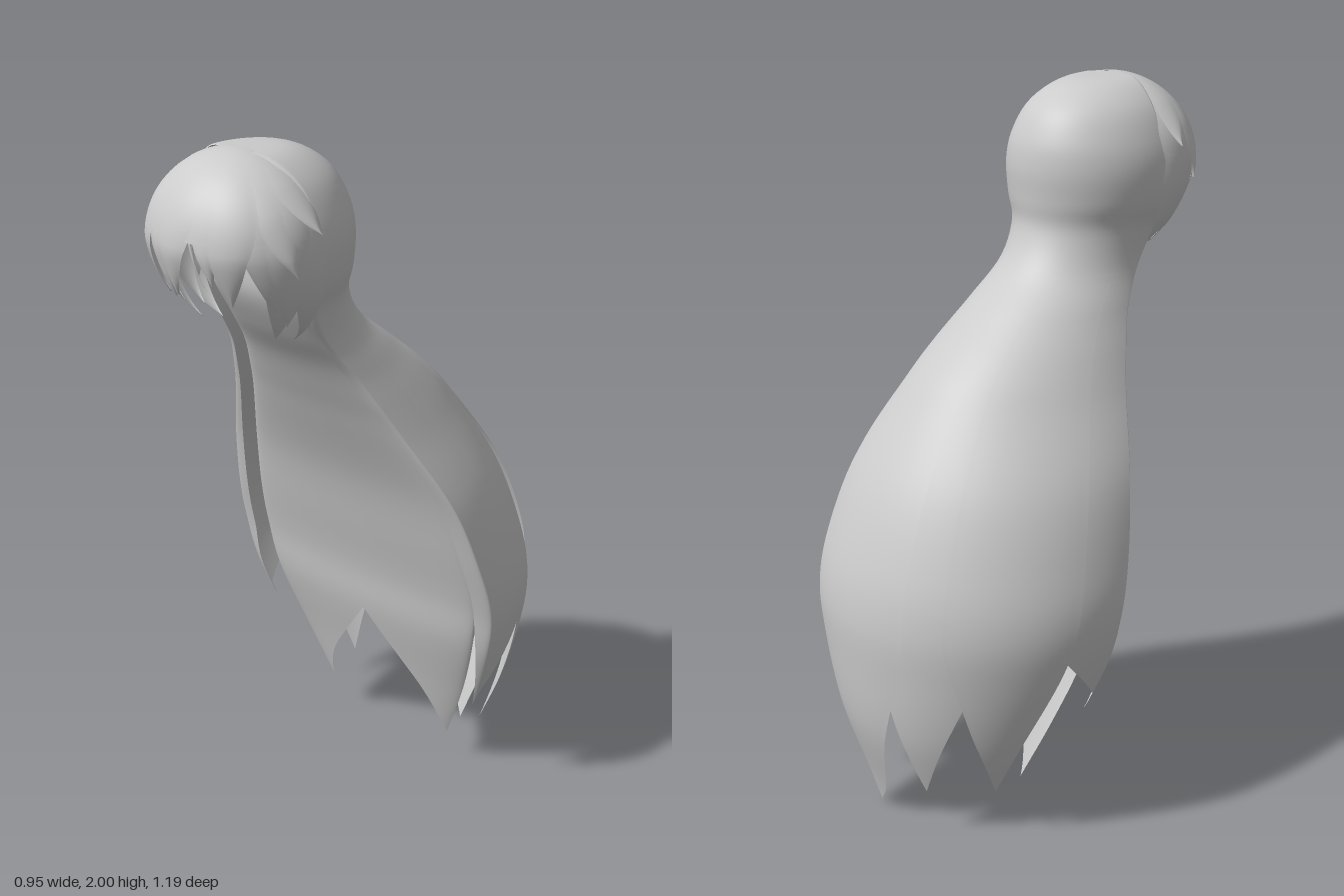
import * as THREE from 'three';

const rad = THREE.MathUtils.degToRad;
const material = new THREE.MeshStandardMaterial({ color: 0xcccccc, side: THREE.DoubleSide });

// Horizontal sections of the hair: height, half width, back z, z of widest point
const sections = [
  [1.995, 0, 0.38, 0.38], [1.985, 0.1, 0.22, 0.36], [1.93, 0.175, 0.115, 0.34], [1.85, 0.22, 0.065, 0.33],
  [1.77, 0.24, 0.05, 0.33], [1.68, 0.234, 0.054, 0.33], [1.6, 0.208, 0.055, 0.32], [1.5, 0.2, 0.0, 0.265],
  [1.4, 0.228, -0.12, 0.195], [1.3, 0.27, -0.24, 0.14], [1.2, 0.315, -0.33, 0.09], [1.0, 0.41, -0.465, 0],
  [0.8, 0.46, -0.545, -0.06], [0.65, 0.473, -0.575, -0.1], [0.5, 0.445, -0.572, -0.125],
  [0.3, 0.37, -0.55, -0.18], [0.1, 0.28, -0.49, -0.23], [0, 0.25, -0.46, -0.26],
];
const outer = new THREE.CatmullRomCurve3(sections.map(([y, w, zb]) => new THREE.Vector3(w, y, zb)), false, 'catmullrom', 0.5);
const middle = new THREE.CatmullRomCurve3(sections.map(([y, , , zm]) => new THREE.Vector3(0, y, zm)), false, 'catmullrom', 0.5);

// Curve parameter at a height
function paramAt(y) {
  let lo = 0, hi = 1;
  for (let i = 0; i < 24; i++) {
    const mid = (lo + hi) / 2;
    if (outer.getPoint(mid).y > y) lo = mid; else hi = mid;
  }
  return (lo + hi) / 2;
}

// Smooth sheet from point(u, s): u runs root to tip, s runs -1..1 across
function sheet(name, rows, cols, point) {
  const positions = [], index = [];
  for (let i = 0; i <= rows; i++) {
    for (let j = 0; j <= cols; j++) {
      positions.push(...point(i / rows, (j / cols) * 2 - 1));
      if (i < rows && j < cols) {
        const a = i * (cols + 1) + j, b = a + cols + 1;
        index.push(a, a + 1, b, a + 1, b + 1, b);
      }
    }
  }
  const g = new THREE.BufferGeometry();
  g.setAttribute('position', new THREE.Float32BufferAttribute(positions, 3));
  g.setIndex(index);
  g.computeVertexNormals();
  const mesh = new THREE.Mesh(g, material);
  mesh.name = name;
  return mesh;
}

// Progress through the tapered end, and the petal-shaped width there
const taper = (u, start) => (u <= start ? 0 : (u - start) / (1 - start));
const petal = (q) => 1 - Math.pow(q, 1.7);

// Point on the long hair; angle 0 is the back, 180 the front layer
function hairPoint(t, angle, offset, front) {
  const { x: w, y, z: zb } = outer.getPoint(t);
  const zm = middle.getPoint(t).z;
  const c = Math.cos(angle), k = 1 + offset;
  return [
    w * k * Math.sin(angle) * (front ? 0.84 : 1),
    y,
    zm - c * (c > 0 ? (zm - zb) * k : 0.04) - (front ? 0.02 : 0),
  ];
}

// Lock of long hair between two heights, tapering below the height `start`
function longLock(name, { c, h, from, to, start = to, drift = 0, offset = 0, front = false }) {
  const t0 = paramAt(from), t1 = paramAt(to);
  const u0 = (paramAt(start) - t0) / (t1 - t0);
  return sheet(name, 64, h > 60 ? 56 : 18, (u, s) => {
    const q = taper(u, u0);
    const lift = offset * THREE.MathUtils.smoothstep(u, 0, 0.5);
    return hairPoint(t0 + (t1 - t0) * u, rad(c + drift * q * q + h * petal(q) * s), lift, front);
  });
}

// Fringe lock on an ellipsoid; angle 0 is the front, positive is the model's left
function fringeLock(name, { c, h, end, start = 1, from = 0, drift = 0, scale = 1, flare = 0 }) {
  return sheet(name, 28, h > 60 ? 40 : 10, (u, s) => {
    const theta = rad(from + (end - from) * u);
    const q = taper(u, start);
    const phi = rad(c + drift * q - h * petal(q) * s);
    const k = 1 + (scale - 1) * Math.min(1, u * 2) + flare * q * q;
    const r = Math.sin(theta) * k * (1 + 0.025 * (1 - s * s) * u);
    const cy = Math.cos(theta);
    return [
      0.24 * r * Math.sin(phi),
      1.77 + (cy > 0 ? 0.228 : 0.3) * cy,
      0.38 + 0.208 * r * Math.cos(phi) - 0.06 * Math.max(0, -cy),
    ];
  });
}

export function createModel() {
  const model = new THREE.Group();
  model.name = 'hair';

  // Crown, nape and back as one shell
  const back = new THREE.Group();
  back.name = 'backHair';
  back.add(longLock('crownAndBack', { c: 0, h: 115, from: 1.995, to: 0.7 }));

  // Overlapping pointed locks around the back and sides
  [
    { c: 11, h: 26, to: 0, start: 0.6, drift: 14, offset: 0.04 },
    { c: -22, h: 20, to: 0.13, start: 0.62, offset: 0.008 },
    { c: -50, h: 22, to: 0.14, start: 0.66, drift: -10, offset: 0.016 },
    { c: -90, h: 27, to: 0.37, start: 0.66, drift: -8, offset: 0.006 },
    { c: 50, h: 22, to: 0.11, start: 0.64, drift: 15, offset: 0.014 },
    { c: 90, h: 27, to: 0.28, start: 0.64, drift: 10, offset: 0.006 },
  ].forEach((o, i) => back.add(longLock(`backLock${i + 1}`, { from: 1.5, ...o })));
  model.add(back);

  // Inner layer closing the front, from behind the fringe downwards
  const inner = new THREE.Group();
  inner.name = 'innerHair';
  inner.add(longLock('innerSheet', { c: 180, h: 84, from: 1.85, to: 0.56, front: true }));
  for (const side of [-1, 1]) {
    inner.add(longLock(side < 0 ? 'innerLockLeft' : 'innerLockRight', {
      c: 180 + side * 42, h: 50, from: 1.3, to: side > 0 ? 0.12 : 0.1, start: 0.62,
      drift: side * 28, offset: 0.01, front: true,
    }));
  }
  model.add(inner);

  // Fringe: short shell with layered pointed locks
  const fringe = new THREE.Group();
  fringe.name = 'fringe';
  fringe.add(fringeLock('fringeBase', { c: 0, h: 112, end: 80 }));
  [
    // centre, half width, end, drift, scale
    [-5, 16, 113, -6, 1.02], [17, 11, 104, 4, 1.0], [-24, 15, 116, 5, 1.0],
    [36, 16, 114, -5, 1.02], [-44, 17, 122, -6, 1.03], [56, 17, 122, 6, 1.0],
    [-66, 17, 130, 6, 1.01], [74, 17, 130, -5, 1.03],
    [-88, 19, 138, 4, 1.02], [94, 19, 138, 4, 1.01],
  ].forEach(([c, h, end, drift, scale], i) => fringe.add(
    fringeLock(`fringeLock${i + 1}`, { c, h, end, drift, scale, start: 0.6 })));

  // Side locks before the ears and small flicks standing out
  for (const side of [-1, 1]) {
    const tag = side > 0 ? 'Left' : 'Right';
    fringe.add(fringeLock('sideLock' + tag, { c: side * 88, h: 16, from: 50, end: 150, start: 0.55, drift: side * 6, scale: 1.04 }));
    fringe.add(fringeLock('cheekLock' + tag, { c: side * 66, h: 12, from: 50, end: 143, start: 0.55, drift: side * -4 }));
    fringe.add(fringeLock('upperFlick' + tag, { c: side * 86, h: 15, from: 15, end: 76, start: 0.5, drift: side * 8, scale: 1.03, flare: 0.1 }));
    fringe.add(fringeLock('lowerFlick' + tag, { c: side * 66, h: 12, from: 25, end: 98, start: 0.6, drift: side * 8, scale: 1.03, flare: 0.06 }));
  }
  model.add(fringe);
  return model;
}
